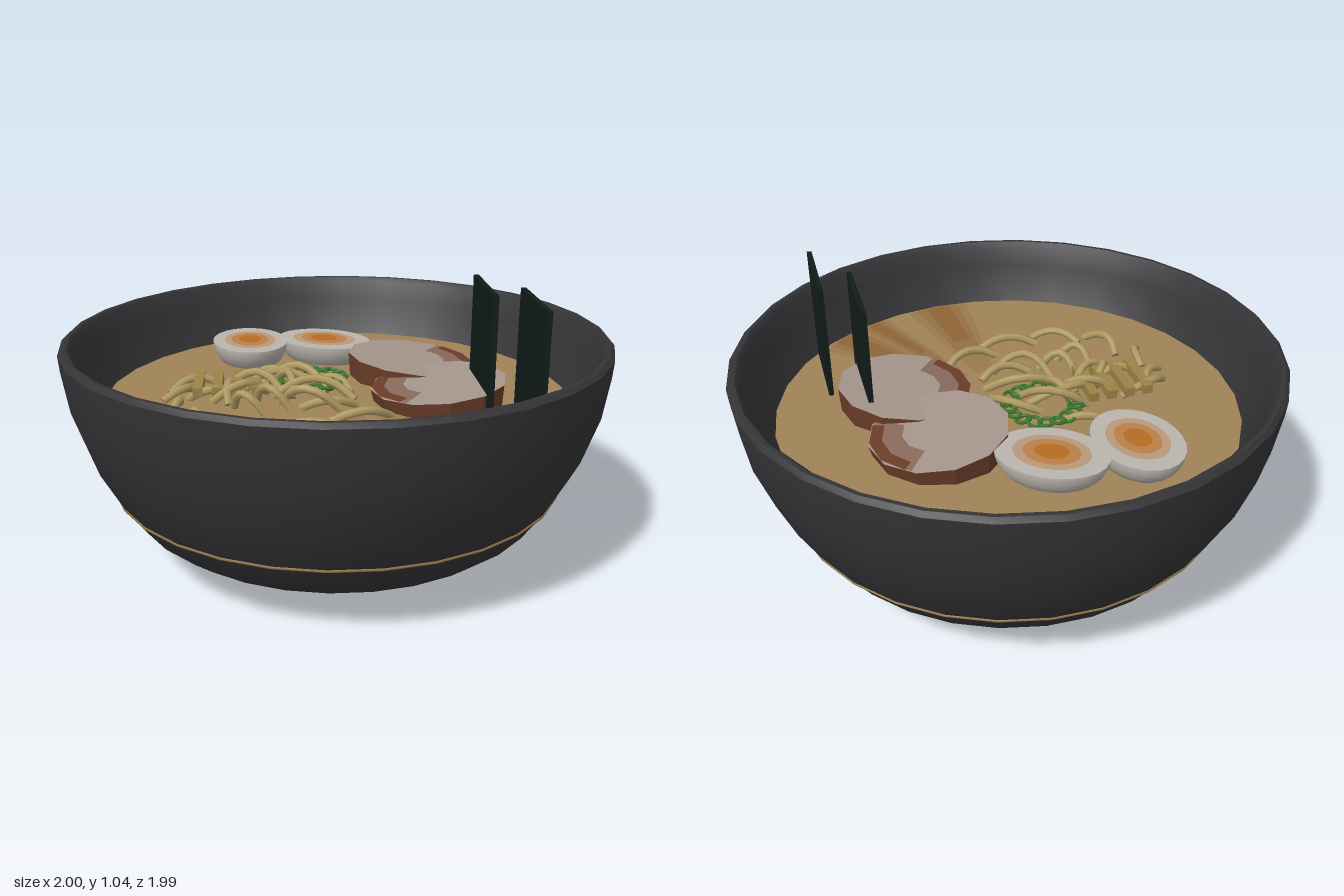
import * as THREE from 'three';
import { toCreasedNormals } from 'three/addons/utils/BufferGeometryUtils.js';

const SEG = 30;      // sides of the bowl
const SOUP = 0.6;    // height of the broth

export function createModel() {
  const root = new THREE.Group();
  const mat = (color) => new THREE.MeshStandardMaterial({ color });
  const bowlMat = mat(0x343437), goldMat = mat(0x8f7444), soupMat = mat(0x9f8257);
  const whiteMat = mat(0xbab4ae), paleYolk = mat(0xbb9878), midYolk = mat(0xb98048), yolkMat = mat(0xb56c22);
  const meatMat = mat(0xa5958c), meatMid = mat(0x8a6a5c), meatEdge = mat(0x6b3d29);
  const noodleMat = mat(0xb09b62), bambooMat = mat(0x9c8347), greenMat = mat(0x3c7a2c), noriMat = mat(0x111c18);

  const add = (parent, name, geometry, material, x = 0, y = 0, z = 0) => {
    const mesh = new THREE.Mesh(geometry, material);
    mesh.name = name;
    mesh.position.set(x, y, z);
    parent.add(mesh);
    return mesh;
  };
  const group = (name, x = 0, y = 0, z = 0) => {
    const g = new THREE.Group();
    g.name = name;
    g.position.set(x, y, z);
    root.add(g);
    return g;
  };
  const flat = (geometry) => geometry.rotateX(-Math.PI / 2);

  // Bowl: foot, outer wall, rounded rim and inner wall in one profile
  const profile = [
    [0, 0], [0.45, 0], [0.465, 0.085], [0.6, 0.1], [0.69, 0.132], [0.765, 0.19], [0.84, 0.3],
    [0.915, 0.44], [0.972, 0.61], [0.995, 0.76], [1, 0.82], [0.985, 0.835], [0.97, 0.835],
    [0.955, 0.82], [0.935, 0.74], [0.86, SOUP], [0.75, 0.42], [0.55, 0.25], [0, 0.2],
  ].map(([r, y]) => new THREE.Vector2(r, y));
  const bowl = new THREE.LatheGeometry(profile, SEG).rotateY(Math.PI / 2);
  add(root, 'bowl', toCreasedNormals(bowl, 0.6), bowlMat);
  add(root, 'goldBand', new THREE.TorusGeometry(0.837, 0.005, 6, SEG).rotateX(Math.PI / 2), goldMat, 0, 0.292, 0);

  // Broth with streaks of oil fading out to each side
  add(root, 'broth', flat(new THREE.CircleGeometry(0.862, SEG)), soupMat, 0, SOUP, 0);
  const streakMats = [mat(0x99794c), mat(0x947042), mat(0x8f6436)];
  for (const [angle, width] of [[6, 9], [27, 5], [38, 8]]) {
    streakMats.forEach((m, i) => {
      const w = THREE.MathUtils.degToRad(width * (1 - i * 0.3));
      const mid = THREE.MathUtils.degToRad(angle) - Math.PI / 2;
      const wedge = new THREE.RingGeometry(0.25 + i * 0.13, 0.845, 4, 1, mid - w, 2 * w);
      add(root, 'oilStreak', flat(wedge), m, 0, SOUP + 0.0015 * (i + 1), 0);
    });
  }

  // Halved eggs: lower half ellipsoid, flat cut face, yolk in soft rings
  for (const [x, z, turn, long, wide] of [[-0.327, -0.466, -1.39, 0.195, 0.152], [-0.02, -0.465, -0.56, 0.2, 0.148]]) {
    const egg = group('halfEgg', x, 0.68, z);
    egg.rotation.y = turn;
    egg.scale.set(long, 0.13, wide);
    add(egg, 'eggWhite', new THREE.SphereGeometry(1, 24, 8, 0, Math.PI * 2, Math.PI / 2, Math.PI / 2), whiteMat);
    add(egg, 'eggFace', flat(new THREE.CircleGeometry(1, 24)), whiteMat);
    [[0.68, paleYolk], [0.5, midYolk], [0.3, yolkMat]].forEach(([r, m], i) =>
      add(egg, 'yolk', flat(new THREE.CircleGeometry(r, 24)), m, 0, 0.012 * (i + 1), 0));
  }

  // Meat slices: low-poly discs leaning against each other, browned on one side
  for (const [x, z, lean, brown] of [[0.31, -0.21, -0.1, -0.6], [0.365, 0.115, 0.1, 2.5]]) {
    const slice = group('meatSlice', x, 0.668, z);
    slice.rotation.z = lean;
    const side = new THREE.CylinderGeometry(0.25, 0.235, 0.09, 12, 1, true).toNonIndexed();
    side.computeVertexNormals();
    add(slice, 'sliceEdge', side, meatEdge, 0, -0.045, 0);
    add(slice, 'sliceTop', flat(new THREE.CircleGeometry(0.25, 12)), meatMat);
    add(slice, 'sliceBase', new THREE.CircleGeometry(0.235, 12).rotateX(Math.PI / 2), meatEdge, 0, -0.09, 0);
    add(slice, 'sliceTone', flat(new THREE.RingGeometry(0.13, 0.245, 3, 1, brown, Math.PI / 2)), meatMid, 0, 0.002, 0);
    add(slice, 'sliceBrown', flat(new THREE.RingGeometry(0.2, 0.245, 3, 1, brown + 0.1, Math.PI / 2 - 0.2)), meatEdge, 0, 0.004, 0);
  }

  // Seaweed sheets
  for (const [x, z] of [[0.51, 0.18], [0.63, 0.405]]) {
    add(root, 'seaweedSheet', new THREE.BoxGeometry(0.018, 0.48, 0.35), noriMat, x, 0.8, z);
  }

  // Bamboo sticks
  for (let i = 0; i < 4; i++) {
    add(root, 'bambooStick', new THREE.BoxGeometry(0.036, 0.035, 0.215), bambooMat, -0.513 + i * 0.071, 0.64, -0.007);
  }

  // Spring onion rings laid in a circle
  for (let i = 0; i < 18; i++) {
    const a = (i / 18) * Math.PI * 2;
    const ring = add(root, 'onionRing', new THREE.TorusGeometry(0.027, 0.007, 5, 10).rotateX(Math.PI / 2), greenMat,
      -0.105 + 0.125 * Math.cos(a), 0.628, -0.085 + 0.125 * Math.sin(a));
    ring.rotation.set(0.25 * Math.sin(i * 2), 0, 0.25 * Math.cos(i * 3));
  }

  // Noodles: start x, z, end x, z and sideways bow; each arches out of the broth
  const noodles = [
    [-0.64, 0.08, -0.53, -0.05, 0.02], [-0.61, 0.25, -0.58, 0.11, 0.02], [-0.51, 0.22, -0.44, 0.4, 0.03],
    [-0.4, 0.36, -0.23, 0.46, 0.03], [-0.23, 0.4, 0, 0.42, 0.02], [-0.05, 0.35, 0.17, 0.29, 0.03],
    [-0.36, 0.02, -0.06, -0.04, -0.05], [-0.1, -0.1, 0.05, 0.04, -0.04], [-0.28, -0.1, -0.04, 0.02, -0.05],
    [-0.24, 0.06, 0.06, 0.11, -0.04], [-0.14, 0.19, 0.06, 0.17, 0.03], [-0.3, 0.1, -0.18, 0.2, 0.03],
    [-0.31, -0.22, -0.16, -0.18, -0.01], [-0.38, 0.16, -0.27, 0.25, 0.03], [-0.62, 0, -0.42, -0.08, -0.03],
    [-0.46, 0.1, -0.26, 0, 0.04], [-0.42, -0.03, -0.2, 0.04, -0.04], [-0.21, 0.12, 0, 0.22, 0.04],
    [-0.4, 0.14, -0.34, 0.02, -0.03], [-0.26, -0.08, -0.17, 0.08, -0.04], [-0.55, 0.06, -0.36, 0.03, 0.03],
  ];
  noodles.forEach(([x0, z0, x1, z1, bow], i) => {
    const len = Math.hypot(x1 - x0, z1 - z0);
    const inner = Math.hypot((x0 + x1) / 2 + 0.22, (z0 + z1) / 2 - 0.05) < 0.2;
    const top = (inner ? 0.665 : 0.628) + 0.006 * (i % 3);
    const points = [0, 0.25, 0.5, 0.75, 1].map((t) => {
      const k = 4 * t * (1 - t);
      return new THREE.Vector3(
        x0 + (x1 - x0) * t - ((z1 - z0) / len) * bow * k,
        SOUP + 0.005 + (top - SOUP) * k,
        z0 + (z1 - z0) * t + ((x1 - x0) / len) * bow * k);
    });
    const tube = new THREE.TubeGeometry(new THREE.CatmullRomCurve3(points), 8, 0.0155, 6, false);
    add(root, 'noodle', tube, noodleMat);
    // Closed ends
    [[0, -1], [4, 1]].forEach(([p, s]) => {
      const dir = points[p].clone().sub(points[p - s]).normalize();
      const cap = add(root, 'noodleEnd', new THREE.CircleGeometry(0.0155, 6), noodleMat, ...points[p].toArray());
      cap.quaternion.setFromUnitVectors(new THREE.Vector3(0, 0, 1), dir);
    });
  });

  return root;
}
